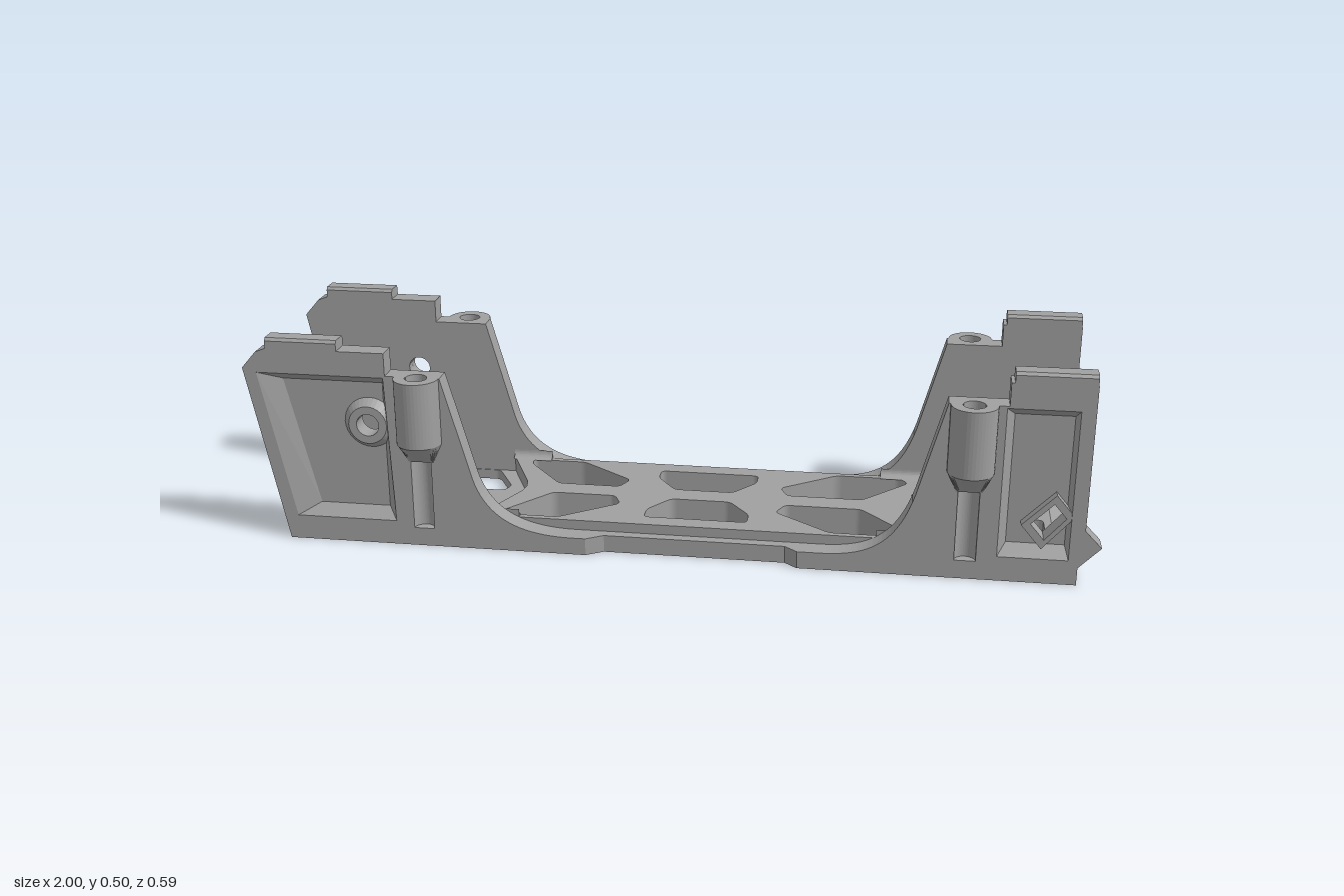
import * as THREE from 'three';

const IN = 0.19, MID = 0.215, OUT = 0.24; // wall layers along z
const PILLARS = [-0.58, 0.694];
const grey = new THREE.MeshStandardMaterial({ color: 0xa0a0a0 });
grey.name = 'plainGrey';

const poly = (pts, Type = THREE.Shape) => new Type(pts.map(p => new THREE.Vector2(p[0], p[1])));

function extrude(shape, depth) {
  return new THREE.ExtrudeGeometry(shape, { depth, bevelEnabled: false, curveSegments: 20 });
}
// Outline given in x, y, extruded along z
const slab = (shape, z0, z1) => extrude(shape, z1 - z0).translate(0, 0, z0);
// Outline given in x, z, extruded along y
function plate(pts, y0, y1, holes = []) {
  const flip = list => list.map(([x, z]) => [x, -z]);
  const s = poly(flip(pts));
  holes.forEach(h => s.holes.push(roundedPath(flip(h), 0.014)));
  return extrude(s, y1 - y0).rotateX(-Math.PI / 2).translate(0, y0, 0);
}
// Closed polygon with softened corners
function roundedPath(pts, r) {
  const path = new THREE.Path(), n = pts.length;
  const v = pts.map(p => new THREE.Vector2(p[0], p[1]));
  for (let i = 0; i < n; i++) {
    const c = v[i], prev = v[(i + n - 1) % n], next = v[(i + 1) % n];
    const a = c.clone().add(prev.clone().sub(c).setLength(r));
    const b = c.clone().add(next.clone().sub(c).setLength(r));
    if (i) path.lineTo(a.x, a.y); else path.moveTo(a.x, a.y);
    path.quadraticCurveTo(c.x, c.y, b.x, b.y);
  }
  path.closePath();
  return path;
}
function fromTriangles(tris) {
  const g = new THREE.BufferGeometry();
  g.setAttribute('position', new THREE.Float32BufferAttribute(tris.flat(2), 3));
  g.computeVertexNormals();
  return g;
}
// Mirrored copy across z with corner order reversed
function mirrorZ(geo) {
  const g = geo.index ? geo.toNonIndexed() : geo.clone();
  for (const name of ['position', 'normal']) {
    const a = g.attributes[name];
    for (let i = 0; i < a.count; i += 3) {
      const p = [0, 1, 2].map(k => [a.getX(i + k), a.getY(i + k), -a.getZ(i + k)]);
      [0, 2, 1].forEach((k, m) => a.setXYZ(i + m, ...p[k]));
    }
  }
  return g;
}
const arc = (cx, cz, r, a0, a1, n = 20) => Array.from({ length: n + 1 }, (_, i) => {
  const t = a0 + (a1 - a0) * i / n;
  return [cx + r * Math.cos(t), cz + r * Math.sin(t)];
});

// Side wall outline; the outer layer is split in two and notched for the screw channels
const lines = (s, pts) => pts.forEach(p => s.lineTo(p[0], p[1]));
const notch = cx => [[cx - 0.028, 0.425], [cx - 0.028, 0.045], [cx + 0.028, 0.045], [cx + 0.028, 0.425]];
function leftPart(s, cut) {
  s.moveTo(-0.915, 0);
  lines(s, [[-1, 0.43], [-0.965, 0.47], [-0.94, 0.48], [-0.655, 0.48], [-0.655, 0.425],
    ...(cut ? notch(PILLARS[0]) : []), [-0.525, 0.425], [-0.457, 0.18]]);
  s.bezierCurveTo(-0.425, 0.075, -0.34, 0.042, -0.22, 0.042);
}
function rightPart(s, cut) {
  s.lineTo(0.36, 0.042);
  s.bezierCurveTo(0.47, 0.042, 0.535, 0.07, 0.575, 0.2);
  lines(s, [[0.637, 0.425], ...(cut ? notch(PILLARS[1]) : []), [0.77, 0.425], [0.77, 0.48], [0.958, 0.48],
    [0.958, 0.135], [0.997, 0.095], [0.947, 0.043], [0.947, 0]]);
}
const diamond = k => [[-0.042, -0.007], [-0.01, -0.045], [0.037, 0.01], [0.008, 0.044]]
  .map(([x, y]) => [0.877 + k * x, 0.152 + k * y]);

const RECESSES = [
  { rim: [[-0.893, 0.06], [-0.648, 0.06], [-0.66, 0.42], [-0.967, 0.42]],
    base: [[-0.84, 0.088], [-0.67, 0.088], [-0.67, 0.4], [-0.912, 0.4]] },
  { rim: [[0.765, 0.06], [0.925, 0.06], [0.925, 0.42], [0.765, 0.42]],
    base: [[0.784, 0.088], [0.916, 0.088], [0.916, 0.4], [0.784, 0.4]] },
];

function wallParts() {
  const parts = [];
  const add = (name, geo) => parts.push([name, geo]);

  // Continuous inner layer with the round and diamond openings
  const inner = new THREE.Shape();
  leftPart(inner, false);
  rightPart(inner, false);
  const round = new THREE.Path();
  round.absarc(-0.705, 0.3, 0.027, 0, Math.PI * 2);
  inner.holes.push(round, poly(diamond(1), THREE.Path));
  add('wallInnerLayer', slab(inner, IN, MID));

  // Outer layer ends with the recess windows
  const left = new THREE.Shape();
  leftPart(left, true);
  lines(left, [[-0.19, 0.042], [-0.19, 0]]);
  const right = new THREE.Shape();
  right.moveTo(0.31, 0);
  right.lineTo(0.31, 0.042);
  rightPart(right, true);
  [left, right].forEach((s, i) => {
    s.holes.push(poly(RECESSES[i].rim, THREE.Path));
    add('wallOuterLayer', slab(s, MID, OUT));
  });
  // Chamfers where the wall narrows
  for (const [a, b] of [[-0.19, -0.15], [0.31, 0.28]])
    add('wallChamfer', plate([[a, MID], [b, MID], [a, OUT]], 0, 0.042));

  // Sloping edges of the recesses
  for (const { rim, base } of RECESSES) {
    const tris = [];
    rim.forEach((p, i) => {
      const j = (i + 1) % rim.length;
      const a = [...p, OUT], b = [...rim[j], OUT], c = [...base[j], MID], d = [...base[i], MID];
      tris.push([a, b, c], [a, c, d]);
    });
    add('recessBevel', fromTriangles(tris));
  }

  // Conical eyelet and diamond frame
  const profile = [[0.062, 0], [0.046, 0.022], [0.027, 0.022], [0.027, 0]].map(p => new THREE.Vector2(...p));
  add('eyelet', new THREE.LatheGeometry(profile, 32).toNonIndexed().rotateX(Math.PI / 2).translate(-0.705, 0.3, MID));
  parts.at(-1)[1].computeVertexNormals();
  const frame = poly(diamond(1.5));
  frame.holes.push(poly(diamond(1), THREE.Path));
  add('diamondFrame', slab(frame, MID, OUT - 0.001));

  // Screw pillars: half tube, tapered foot and channel down the wall
  for (const cx of PILLARS) {
    add('pillar', plate([...arc(cx, OUT, 0.053, 0, Math.PI), ...arc(cx, OUT, 0.0265, Math.PI, 0)], 0.265, 0.425));
    add('screwChannel', plate([[cx - 0.028, OUT], [cx - 0.028, MID], [cx + 0.028, MID], [cx + 0.028, OUT],
      ...arc(cx, OUT, 0.0245, 0, -Math.PI)], 0.045, 0.425));
    const top = arc(cx, OUT, 0.053, 0, Math.PI).map(([x, z]) => [x, 0.265, z]);
    const low = arc(cx, OUT, 0.03, 0, Math.PI).map(([x]) => [x, 0.215, OUT]);
    const tris = [];
    for (let i = 0; i < 20; i++)
      tris.push([top[i], top[i + 1], low[i]], [top[i + 1], low[i + 1], low[i]],
        [[cx, 0.265, OUT], top[i + 1], top[i]]);
    add('pillarFoot', fromTriangles(tris));
  }

  // Raised clips along the top edge
  const section = poly([[-OUT, 0.478], [-IN, 0.478], [-IN, 0.498], [-IN - 0.006, 0.505], [-OUT + 0.006, 0.505], [-OUT, 0.498]]);
  for (const [a, b] of [[-0.94, -0.768], [0.778, 0.957]])
    add('topClip', extrude(section, b - a).rotateY(Math.PI / 2).translate(a, 0, 0));

  // Fillets between floor and wall
  const r = 0.02;
  const cove = poly([[-IN, 0.066], [-IN, 0.066 + r], ...arc(-IN + r, 0.066 + r, r, Math.PI, 1.5 * Math.PI, 8)]);
  for (const [a, b] of [[-0.46, -0.36], [0.49, 0.9]])
    add('floorFillet', extrude(cove, b - a).rotateY(Math.PI / 2).translate(a, 0, 0));
  return parts;
}

// Floor openings on one half, mirrored to the other
const END_HOLE = [[-0.74, -0.188], [-0.5, -0.188], [-0.447, -0.09], [-0.46, -0.06], [-0.71, -0.06], [-0.77, -0.15]];
const HOLES = [
  [[-0.41, -0.175], [-0.27, -0.175], [-0.135, -0.075], [-0.155, -0.03], [-0.31, -0.03], [-0.41, -0.15]],
  [[-0.065, -0.145], [0.183, -0.145], [0.183, -0.1], [0.13, -0.03], [-0.015, -0.03], [-0.065, -0.1]],
  [[0.245, -0.075], [0.38, -0.175], [0.54, -0.175], [0.56, -0.15], [0.45, -0.03], [0.265, -0.03]],
  [[0.565, -0.075], [0.67, -0.18], [0.882, -0.18], [0.882, -0.033], [0.59, -0.033]],
];
const bothHalves = list => list.flatMap(h => [h, h.map(([x, z]) => [x, -z])]);

export function createModel() {
  const model = new THREE.Group();
  model.name = 'openCradle';
  const add = (parent, name, geo) => {
    const m = new THREE.Mesh(geo, grey);
    m.name = name;
    parent.add(m);
  };

  // Floor: thin full-length sheet with a raised deck on top
  const floor = new THREE.Group();
  floor.name = 'floor';
  add(floor, 'floorSheet', plate([[-0.9, -IN], [-0.86, -0.14], [-0.86, 0.14], [-0.9, IN], [0.947, IN], [0.947, -IN]],
    0, 0.025, bothHalves([END_HOLE, ...HOLES])));
  add(floor, 'floorDeck', plate([[-0.46, -IN], [-0.39, -0.03], [-0.385, 0], [-0.39, 0.03], [-0.46, IN], [0.9, IN], [0.9, -IN]],
    0.025, 0.066, bothHalves(HOLES.map((h, i) => i ? h : h.map(([x, z]) => [Math.max(x, -0.405), z])))));
  add(floor, 'floorEndBevel', slab(poly([[0.9, 0.025], [0.947, 0.025], [0.9, 0.066]]), -IN, IN));
  model.add(floor);

  // Matching side walls
  const front = new THREE.Group(), back = new THREE.Group();
  front.name = 'frontWall';
  back.name = 'backWall';
  for (const [name, geo] of wallParts()) {
    add(front, name, geo);
    add(back, name, mirrorZ(geo));
  }
  model.add(front, back);
  return model;
}
